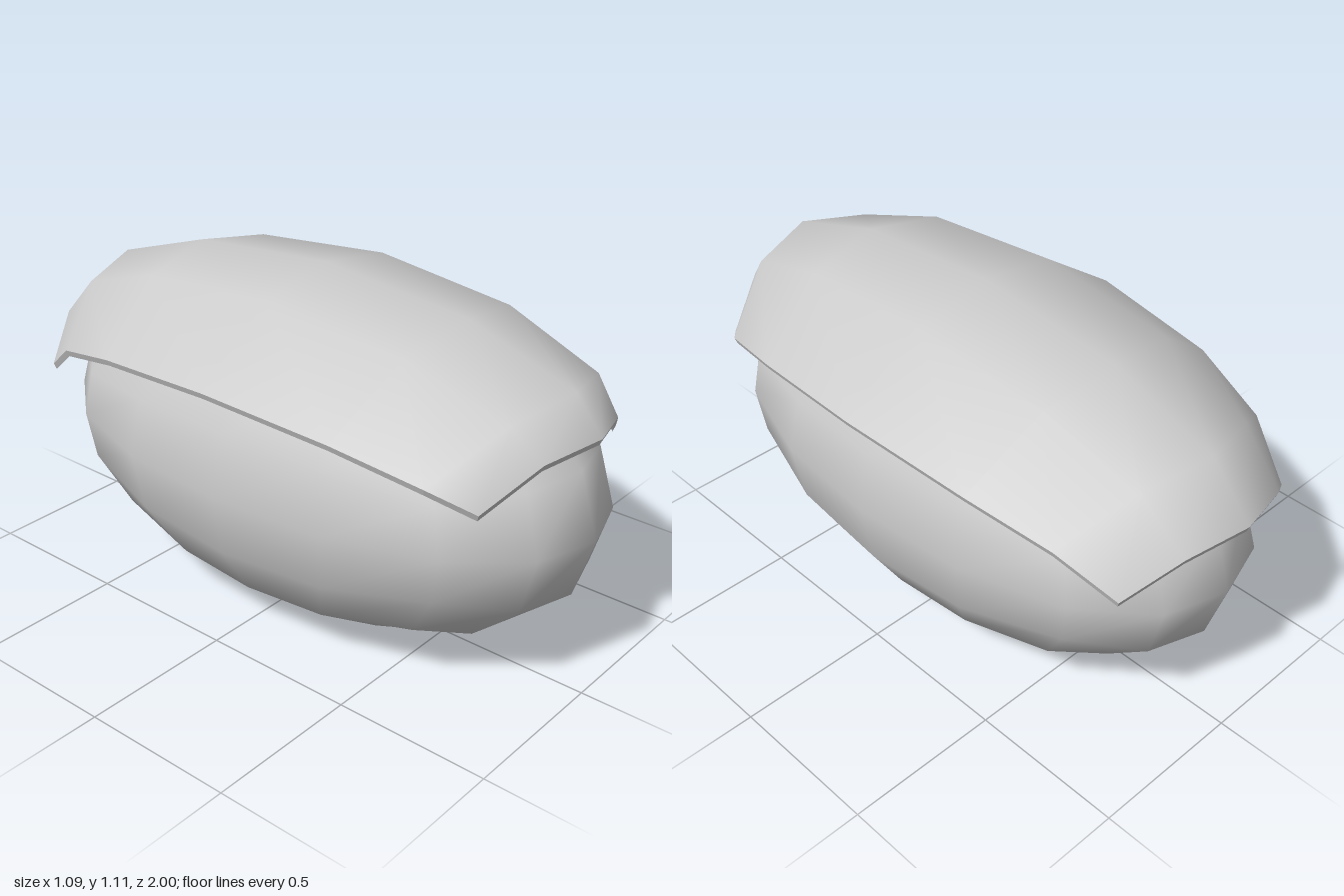
import * as THREE from 'three';
import { mergeVertices } from 'three/addons/utils/BufferGeometryUtils.js';

const material = new THREE.MeshStandardMaterial({ color: 0xcccccc, side: THREE.DoubleSide });

// Rounded cube, stretched along z
function bodyGeometry() {
  let geo = new THREE.BoxGeometry(2, 2, 2, 4, 4, 4);
  geo.deleteAttribute('normal');
  geo.deleteAttribute('uv');
  geo = mergeVertices(geo);
  const pos = geo.attributes.position;
  const p = new THREE.Vector3();
  const spread = (t) => Math.tan((t * Math.PI) / 4);
  for (let i = 0; i < pos.count; i++) {
    p.fromBufferAttribute(pos, i);
    p.set(spread(p.x), spread(p.y), spread(p.z)).normalize();
    // slight bulge towards the cube's edges and corners
    p.multiplyScalar(1 + 0.054 * (1 - p.x ** 4 - p.y ** 4 - p.z ** 4));
    pos.setXYZ(i, p.x * 0.515, p.y * 0.515 + 0.52, p.z * 0.98 + 0.02);
  }
  geo.computeVertexNormals();
  return geo;
}

// Cross-sections from front to back: centre, middle and edge points [x, y, z]
const sections = [
  [[0, 0.835, 0.99], [0.19, 0.81, 0.93], [0.352, 0.695, 0.84]],
  [[0, 0.945, 0.9], [0.22, 0.91, 0.84], [0.435, 0.765, 0.72]],
  [[0, 1.063, 0.54], [0.255, 1.02, 0.51], [0.505, 0.833, 0.45]],
  [[0, 1.11, 0.02], [0.27, 1.065, 0.02], [0.545, 0.87, 0.02]],
  [[0, 1.063, -0.5], [0.255, 1.02, -0.47], [0.505, 0.833, -0.42]],
  [[0, 0.945, -0.86], [0.22, 0.91, -0.8], [0.435, 0.765, -0.69]],
  [[0, 0.785, -1], [0.2, 0.76, -0.95], [0.355, 0.645, -0.86]],
];
const mirrorX = ([x, y, z]) => [-x, y, z];
const outer = sections.map(([a, b, c]) => [mirrorX(c), mirrorX(b), a, b, c]);
const inner = outer.map((row) => row.map(([x, y, z]) => [x * 0.985, y - 0.02, z * 0.992]));

function makeGeometry(points, index) {
  const geo = new THREE.BufferGeometry();
  geo.setAttribute('position', new THREE.Float32BufferAttribute(points.flat(), 3));
  geo.setIndex(index);
  geo.computeVertexNormals();
  return geo;
}

// Smooth sheet through a grid of points, facing up unless flipped
function sheet(grid, flip) {
  const n = grid[0].length;
  const index = [];
  for (let r = 0; r < grid.length - 1; r++) {
    for (let c = 0; c < n - 1; c++) {
      const a = r * n + c, b = a + 1, d = a + n, e = d + 1;
      index.push(...(flip ? [a, e, b, a, d, e] : [a, b, e, a, e, d]));
    }
  }
  return makeGeometry(grid.flat(), index);
}

// Points round the border of a grid, counter-clockwise from above
function border(grid) {
  const last = grid.length - 1;
  return [
    ...grid[0].slice(0, -1),
    ...grid.slice(0, last).map((row) => row[row.length - 1]),
    ...grid[last].slice(1).reverse(),
    ...grid.slice(1).map((row) => row[0]).reverse(),
  ];
}

// Thin strip joining the outer and inner sheets
function rim() {
  const top = border(outer), bottom = border(inner);
  const points = [], index = [];
  top.forEach((p, i) => {
    const j = (i + 1) % top.length, k = points.length;
    points.push(bottom[i], bottom[j], top[j], p);
    index.push(k, k + 1, k + 2, k, k + 2, k + 3);
  });
  return makeGeometry(points, index);
}

export function createModel() {
  const group = new THREE.Group();
  const add = (parent, name, geometry) => {
    const mesh = new THREE.Mesh(geometry, material);
    mesh.name = name;
    parent.add(mesh);
  };
  add(group, 'body', bodyGeometry());

  const shell = new THREE.Group();
  shell.name = 'shell';
  add(shell, 'shellOutside', sheet(outer, false));
  add(shell, 'shellInside', sheet(inner, true));
  add(shell, 'shellRim', rim());
  group.add(shell);
  return group;
}
